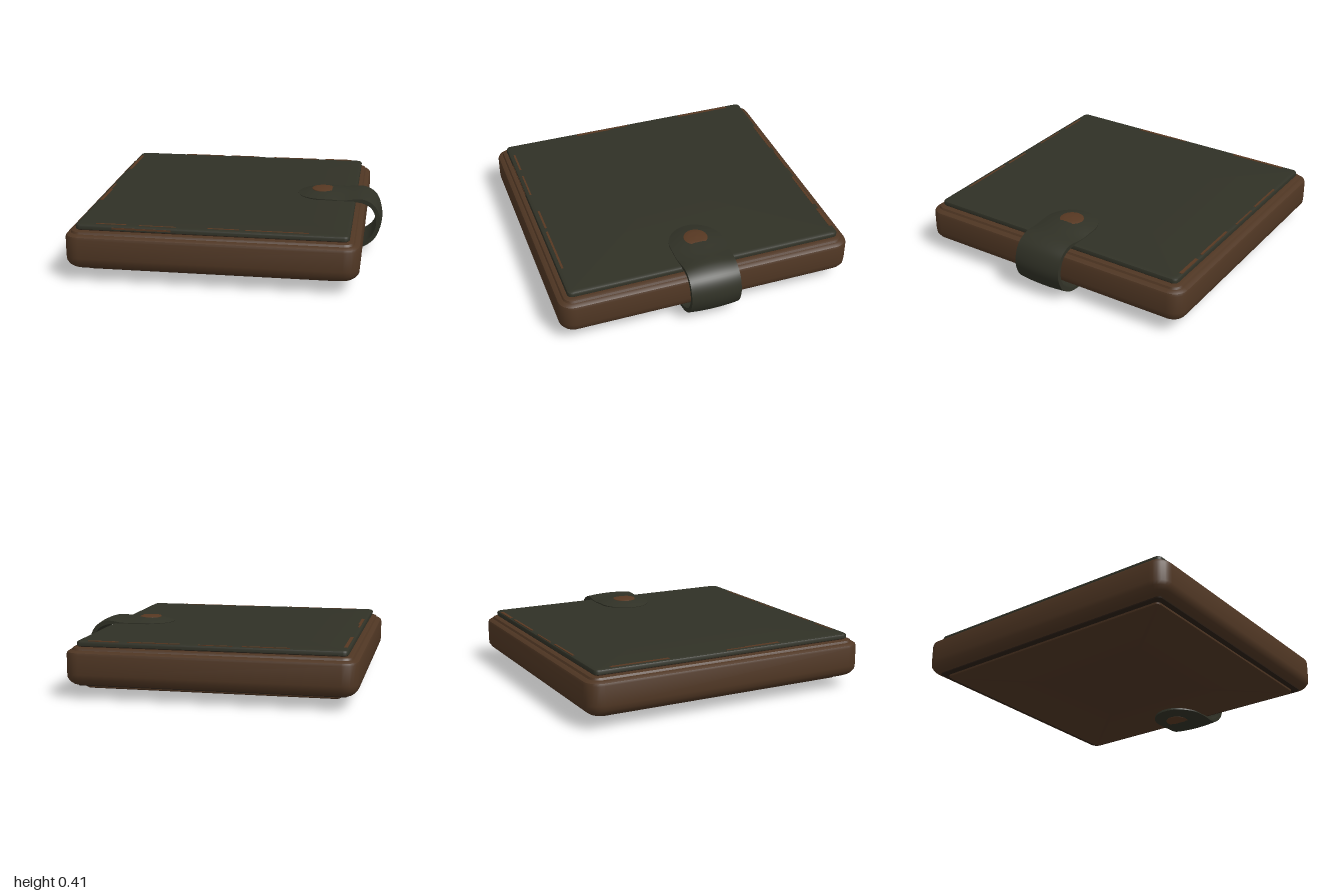
import * as THREE from 'three';
import { toCreasedNormals } from 'three/addons/utils/BufferGeometryUtils.js';

// Skin a stack of closed rings and cap both ends.
function loft(rings, crease = 0.6) {
  const n = rings[0].length, pos = [], idx = [];
  rings.forEach(r => r.forEach(p => pos.push(...p)));
  for (let i = 0; i < rings.length - 1; i++) {
    for (let j = 0; j < n; j++) {
      const a = i * n + j, b = i * n + (j + 1) % n;
      idx.push(a, a + n, b, b, a + n, b + n);
    }
  }
  [0, rings.length - 1].forEach((k, end) => {
    const c = pos.length / 3;
    pos.push(...[0, 1, 2].map(d => rings[k].reduce((s, p) => s + p[d], 0) / n));
    for (let j = 0; j < n; j++) {
      const a = k * n + j, b = k * n + (j + 1) % n;
      if (end) idx.push(c, b, a); else idx.push(c, a, b);
    }
  });
  const g = new THREE.BufferGeometry();
  g.setAttribute('position', new THREE.Float32BufferAttribute(pos, 3));
  g.setIndex(idx);
  return toCreasedNormals(g, crease);
}

// Rounded rectangle at height y, inset from the outer edge of the case.
function rectRing(y, inset) {
  const r = Math.max(0.03, 0.1 - inset), hx = 0.94 - inset - r, hz = 1 - inset - r;
  const ring = [];
  [[1, 1], [-1, 1], [-1, -1], [1, -1]].forEach(([sx, sz], q) => {
    for (let i = 0; i <= 6; i++) {
      const a = (q + i / 6) * Math.PI / 2;
      ring.push([-0.06 + sx * hx + r * Math.cos(a), y, sz * hz + r * Math.sin(a)]);
    }
  });
  return ring;
}

const slab = levels => loft(levels.map(([y, inset]) => rectRing(y, inset)));

// Clasp strap: a domed band swept along a hook-shaped path with rounded tips.
function strapGeometry() {
  const curve = new THREE.CatmullRomCurve3([
    [0.41, 0.374], [0.5, 0.398], [0.6, 0.41], [0.75, 0.402], [0.87, 0.393], [0.955, 0.342], [0.996, 0.22],
    [0.955, 0.1], [0.86, 0.03], [0.75, 0.008], [0.63, 0.001], [0.53, 0.012], [0.45, 0.032],
  ].map(([x, y]) => new THREE.Vector3(x, y, 0)));
  const len = curve.getLength(), rings = [], N = 90, K = 12;
  for (let i = 0; i <= N; i++) {
    const u = i / N, p = curve.getPointAt(u), t = curve.getTangentAt(u);
    const tip = Math.min(1, (Math.min(u, 1 - u) * len + 0.002) / 0.2);
    const bend = THREE.MathUtils.smoothstep(p.x, 0.68, 0.9);
    const w = (0.183 - 0.013 * bend) * Math.sqrt(1 - (1 - tip) ** 2);
    const dome = 0.031 - 0.02 * bend;
    const thick = 0.018 + 0.02 * Math.min(1, tip * 1.5);
    const ring = [];
    const add = (z, off) => ring.push([p.x - t.y * off, p.y + t.x * off, z]);
    for (let k = 0; k <= K; k++) {
      const s = 1 - 2 * k / K;
      add(s * w, -dome * (s * w / 0.183) ** 2);
    }
    for (let k = 0; k <= K; k++) add((2 * k / K - 1) * w, -thick);
    rings.push(ring);
  }
  return loft(rings, 0.8);
}

export function createModel() {
  const group = new THREE.Group();
  const mat = (name, color) => {
    const m = new THREE.MeshStandardMaterial({ color });
    m.name = name;
    return m;
  };
  const brown = mat('brown leather', 0x4f3623);
  const green = mat('dark green leather', 0x303126);
  const rust = mat('worn brown', 0x573822);
  const shade = mat('dark groove', 0x2b1f16);
  const add = (name, geometry, material) => {
    const m = new THREE.Mesh(geometry, material);
    m.name = name;
    group.add(m);
    return m;
  };

  // Main body with bevelled, stepped edges
  add('caseBody', slab([
    [0.085, 0.07], [0.09, 0.045], [0.105, 0.022], [0.13, 0.003], [0.16, 0], [0.285, 0],
    [0.3, 0.006], [0.31, 0.022], [0.313, 0.035], [0.326, 0.042], [0.331, 0.058], [0.331, 0.07],
  ]), brown);

  // Shadowed seams between the body and its covers
  add('lowerSeam', slab([[0.076, 0.095], [0.078, 0.072], [0.088, 0.07]]), shade);
  add('upperSeam', slab([[0.328, 0.075], [0.34, 0.075]]), shade);

  // Bottom and top covers
  add('bottomCover', slab([[0.054, 0.135], [0.056, 0.122], [0.064, 0.112], [0.082, 0.11]]), brown);
  add('topCover', slab([
    [0.334, 0.078], [0.338, 0.068], [0.355, 0.067], [0.364, 0.071], [0.369, 0.081], [0.37, 0.095],
  ]), green);

  // Worn patches along the cover edges: x, z, length along x, length along z
  [
    [-0.42, -0.916, 0.3, 0.014], [-0.1, -0.922, 0.22, 0.01], [0.3, -0.914, 0.34, 0.016], [0.63, -0.916, 0.2, 0.022],
    [-0.7, 0.898, 0.2, 0.014], [-0.4, 0.902, 0.24, 0.012], [0.02, 0.896, 0.2, 0.014], [0.36, 0.9, 0.4, 0.014],
    [-0.905, -0.62, 0.022, 0.4], [-0.91, 0.06, 0.014, 0.14], [-0.905, 0.26, 0.022, 0.26],
  ].forEach(([x, z, lx, lz]) => {
    add('wornEdge', new THREE.BoxGeometry(lx, 0.004, lz), rust).position.set(x, 0.3695, z);
  });
  add('wornFrontEdge', new THREE.BoxGeometry(0.38, 0.012, 0.004), rust).position.set(-0.5, 0.352, 0.932);

  // Clasp strap with a stud on each end
  add('claspStrap', strapGeometry(), green);
  const studProfile = [[0.08, -0.008], [0.079, -0.002], [0.045, 0.002], [0, 0.004]];
  const stud = new THREE.LatheGeometry(studProfile.map(([x, y]) => new THREE.Vector2(x, y)), 24);
  add('topStud', stud, rust).position.set(0.585, 0.409, 0);
  const lower = add('bottomStud', stud, rust);
  lower.position.set(0.61, 0.004, 0);
  lower.rotation.x = Math.PI;

  return group;
}
